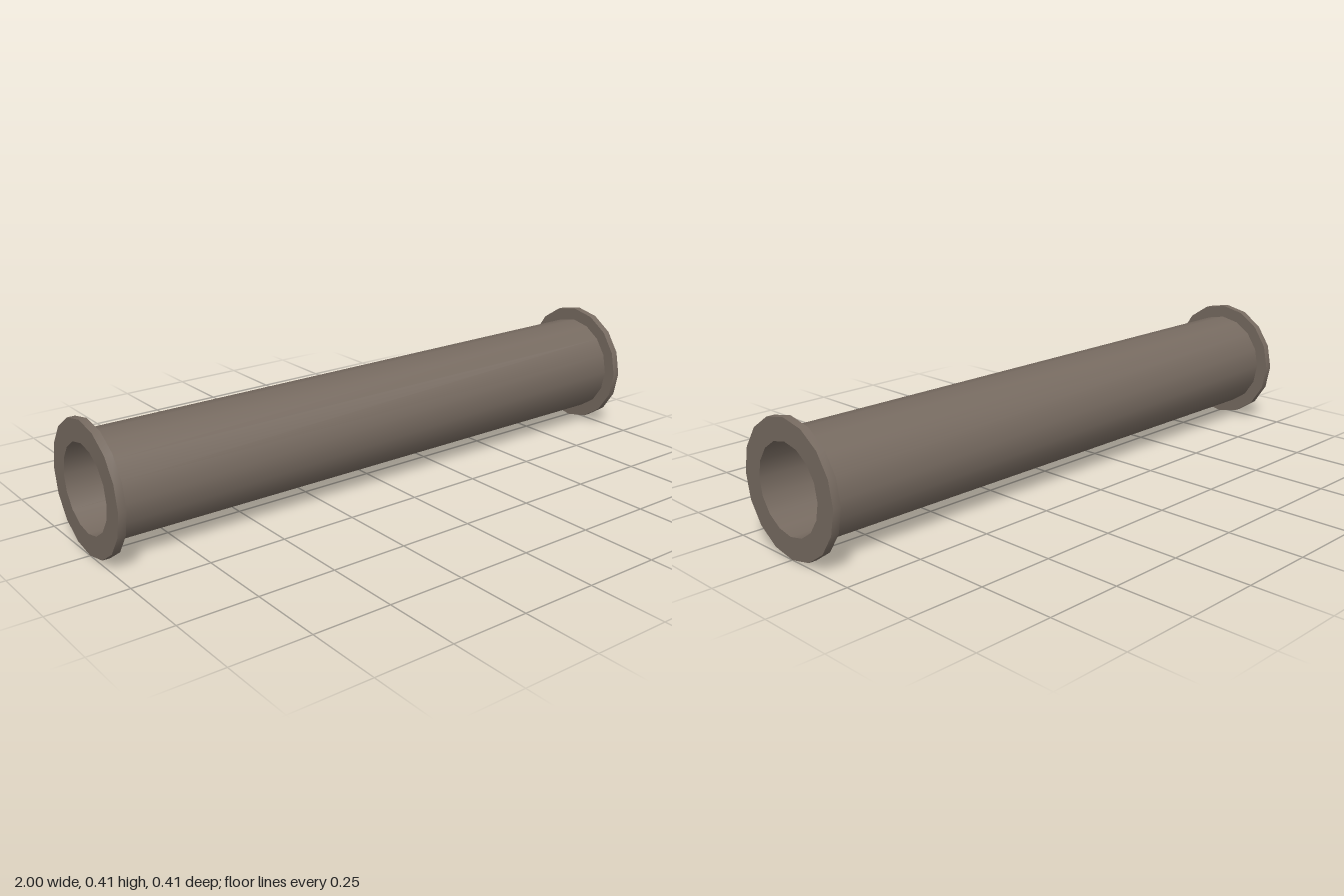
import * as THREE from 'three';
import { toCreasedNormals } from 'three/addons/utils/BufferGeometryUtils.js';

const SIDES = 16;
const OUTER = 0.165, BORE = 0.138, RIM = 0.207;
const HALF = 1, THICK = 0.025;

const material = new THREE.MeshStandardMaterial({ color: 0x766a60 });

// Revolve a [radius, height] profile, smooth around but sharp at its corners
function revolve(name, profile) {
  const points = profile.map(([r, y]) => new THREE.Vector2(r, y));
  const geometry = toCreasedNormals(new THREE.LatheGeometry(points, SIDES), Math.PI / 4);
  const mesh = new THREE.Mesh(geometry, material);
  mesh.name = name;
  return mesh;
}

export function createModel() {
  const group = new THREE.Group();
  group.name = 'flangedPipe';

  // Pipe wall between the flanges, and the bore running end to end
  const inner = HALF - THICK;
  const wall = revolve('pipeWall', [[OUTER, -inner], [OUTER, inner]]);
  const bore = revolve('pipeBore', [[BORE, HALF], [BORE, -HALF]]);
  for (const part of [wall, bore]) {
    part.rotation.z = -Math.PI / 2;
    part.position.y = RIM;
    group.add(part);
  }

  // Flange at each end: back face, rim and end face
  for (const [side, name] of [[1, 'leftFlange'], [-1, 'rightFlange']]) {
    const flange = revolve(name, [[OUTER, 0], [RIM, 0], [RIM, THICK], [BORE, THICK]]);
    flange.rotation.z = -side * Math.PI / 2;
    flange.position.set(side * inner, RIM, 0);
    group.add(flange);
  }
  return group;
}
